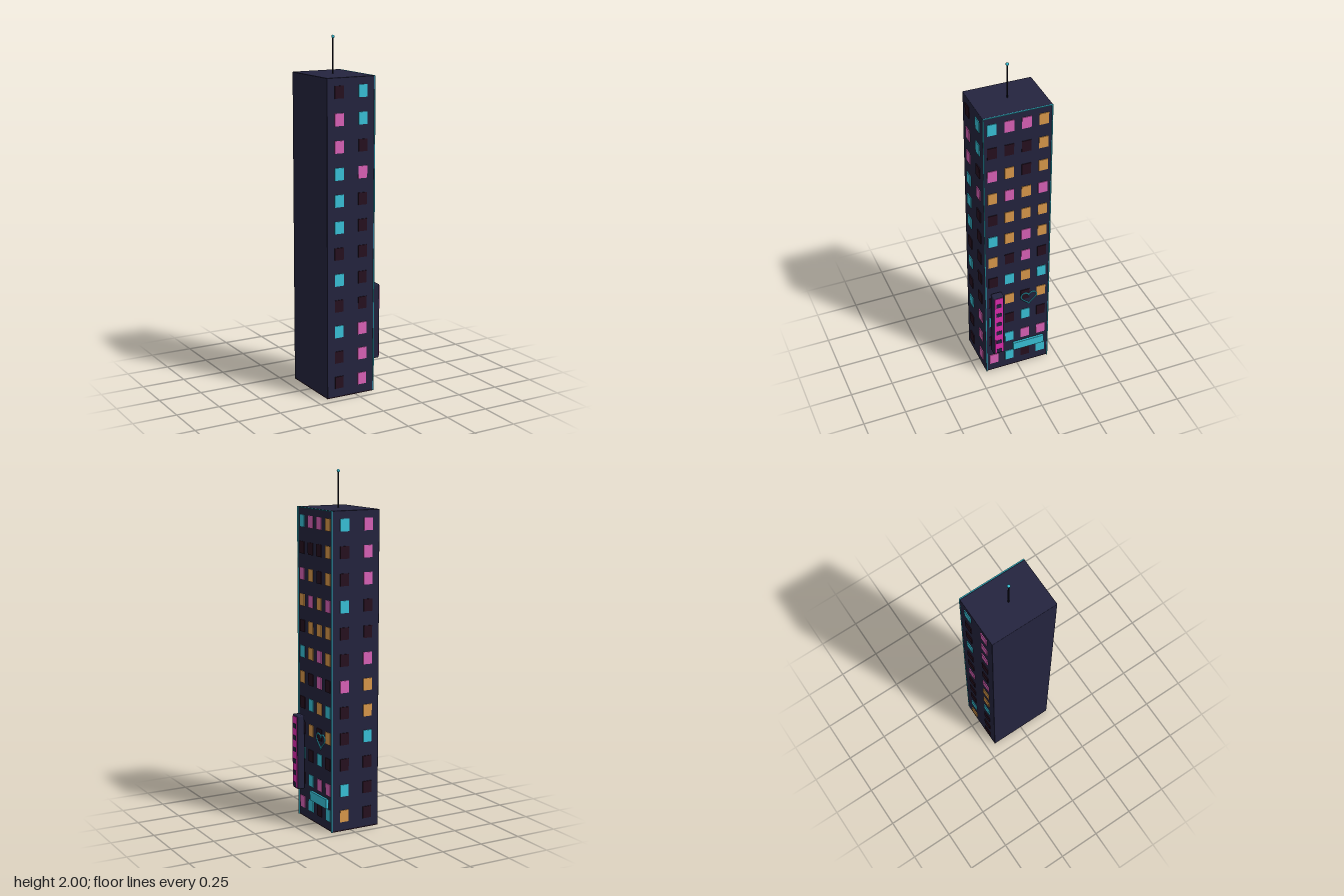
import * as THREE from 'three';
import { RoundedBoxGeometry } from 'three/addons/geometries/RoundedBoxGeometry.js';

const CX = -0.0315, W = 0.294, D = 0.394, H = 1.79; // tower centre and size
const FACE = CX + W / 2;                            // x of the decorated side

const material = (name, color) => {
  const m = new THREE.MeshStandardMaterial({ color });
  m.name = name;
  return m;
};

export function createModel() {
  const group = new THREE.Group();
  const navy = material('navy wall', 0x24243f);
  const dark = material('dark glass', 0x26101f);
  const cyan = material('cyan light', 0x38c2d9);
  const rose = material('rose light', 0xdb62b8);
  const amber = material('amber light', 0xdb994b);
  const pink = material('neon pink', 0xe02bb0);
  const black = material('mast black', 0x14141f);

  const add = (name, geometry, mat, x, y, z, parent = group) => {
    const mesh = new THREE.Mesh(geometry, mat);
    mesh.name = name;
    mesh.position.set(x, y, z);
    parent.add(mesh);
    return mesh;
  };
  const box = (w, h, d) => new THREE.BoxGeometry(w, h, d);

  // Tower and its base plate
  add('tower', new RoundedBoxGeometry(W, H - 0.004, D, 2, 0.004), navy, CX, H / 2 + 0.002, 0);
  add('basePlate', box(W - 0.002, 0.006, D - 0.002), dark, CX, 0.003, 0);

  // Windows: one string per column, listed from the top floor down
  const glass = { D: dark, C: cyan, M: rose, O: amber };
  const windows = new THREE.Group();
  windows.name = 'windows';
  group.add(windows);
  const frontPane = box(0.054, 0.068, 0.01);
  const sidePane = box(0.01, 0.068, 0.054);
  const column = (name, codes, pane, x, z) => [...codes].forEach((c, i) =>
    add(name, pane, glass[c], x, 0.088 + (11 - i) * 0.1477, z, windows));

  column('frontWindow', 'DMMCCCDCDCDD', frontPane, CX - W / 4, D / 2);
  column('frontWindow', 'CCDMDDDDDMMM', frontPane, CX + W / 4, D / 2);
  column('backWindow', 'MMMDDMOOCDDD', frontPane, CX - W / 4, -D / 2);
  column('backWindow', 'CDDCDDMDDDCO', frontPane, CX + W / 4, -D / 2);
  ['CDMODCODDCDM', 'MDOMOODCODCC', 'MDDOOMMODCMD', 'OOOMOODCODMC'].forEach((codes, i) =>
    column('sideWindow', codes, sidePane, FACE - 0.001, D * (3 - 2 * i) / 8));

  // Neon trim on the side edges and roof line
  for (const s of [-1, 1])
    add('edgeTrim', box(0.006, H, 0.005), cyan, FACE + 0.003, H / 2, s * (D / 2 - 0.0025));
  add('roofTrim', box(0.006, 0.005, D), cyan, FACE + 0.003, H - 0.0025, 0);

  // Tall vertical sign with a lit strip and dark blocks
  const sign = new THREE.Group();
  sign.name = 'verticalSign';
  sign.position.set(0.151, 0.395, 0.137);
  group.add(sign);
  add('signCase', new RoundedBoxGeometry(0.045, 0.435, 0.067, 3, 0.008), navy, 0, 0, 0, sign);
  add('signStrip', box(0.004, 0.415, 0.05), pink, 0.0238, 0, 0, sign);
  for (let i = 0; i < 6; i++)
    add('signBlock', box(0.003, 0.027, 0.032), navy, 0.0258, -0.192 + i * 0.069, 0, sign);

  // Horizontal lit awning
  add('awning', new RoundedBoxGeometry(0.016, 0.056, 0.194, 2, 0.003), cyan, 0.13, 0.159, -0.066);

  // Neon heart outline
  const points = [];
  for (let i = 0; i < 40; i++) {
    const t = (i / 40) * Math.PI * 2;
    const across = 16 * Math.sin(t) ** 3;
    const up = 13 * Math.cos(t) - 5 * Math.cos(2 * t) - 2 * Math.cos(3 * t) - Math.cos(4 * t);
    points.push(new THREE.Vector3(0, up * 0.003, across * 0.003));
  }
  const heart = new THREE.CatmullRomCurve3(points, true);
  add('neonHeart', new THREE.TubeGeometry(heart, 80, 0.004, 6, true), cyan, FACE + 0.006, 0.504, -0.071);

  // Roof mast with beacon
  add('mast', new THREE.CylinderGeometry(0.004, 0.004, 0.202, 8), black, CX, H + 0.099, 0);
  add('beacon', new THREE.SphereGeometry(0.009, 12, 8), cyan, CX, 1.991, 0);

  return group;
}
